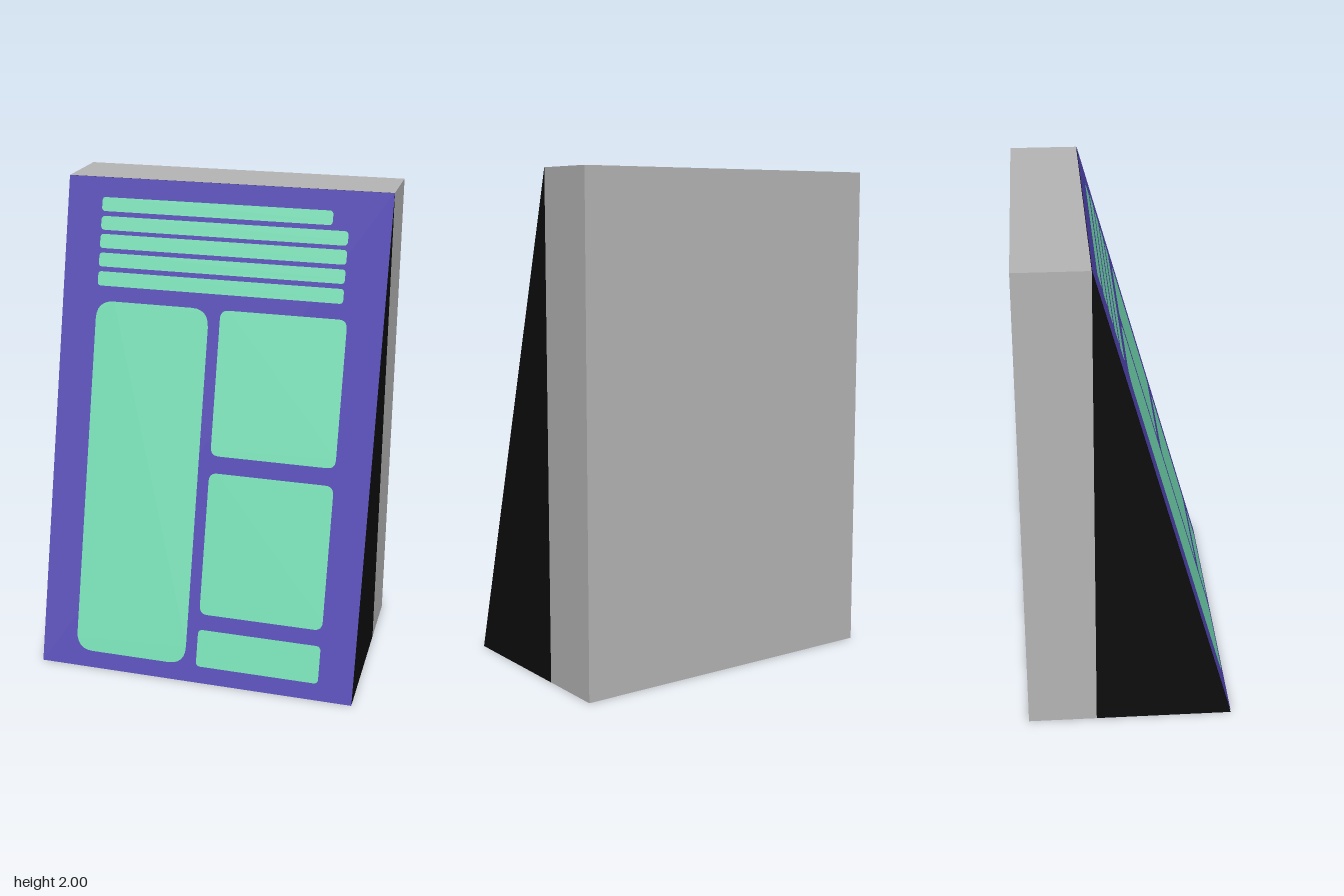
import * as THREE from 'three';

const W = 1.35, H = 2, FRONT = 0.418, MID = -0.14, BACK = -0.42;

const mat = (name, color) => {
  const m = new THREE.MeshStandardMaterial({ color });
  m.name = name;
  return m;
};

// Rectangle with rounded corners, from left/bottom to right/top
function roundedRect(x0, y0, x1, y1, r) {
  const s = new THREE.Shape();
  s.moveTo(x0 + r, y0);
  s.lineTo(x1 - r, y0);
  s.quadraticCurveTo(x1, y0, x1, y0 + r);
  s.lineTo(x1, y1 - r);
  s.quadraticCurveTo(x1, y1, x1 - r, y1);
  s.lineTo(x0 + r, y1);
  s.quadraticCurveTo(x0, y1, x0, y1 - r);
  s.lineTo(x0, y0 + r);
  s.quadraticCurveTo(x0, y0, x0 + r, y0);
  return s;
}

// Lays a flat geometry onto the sloping front, raised by lift
function layOnSlope(geo, lift) {
  const p = geo.attributes.position;
  for (let i = 0; i < p.count; i++) {
    p.setZ(i, FRONT + (MID - FRONT) * p.getY(i) / H + lift);
  }
  geo.computeVertexNormals();
  return geo;
}

export function createModel() {
  const group = new THREE.Group();
  const grey = mat('grey', 0xb4b4b4);
  const black = mat('black', 0x0d0d0d);
  const purple = mat('purple', 0x5145b2);
  const green = mat('mint green', 0x74dcb2);
  const add = (name, geo, material) => {
    const mesh = new THREE.Mesh(geo, material);
    mesh.name = name;
    group.add(mesh);
    return mesh;
  };

  // Upright slab at the rear
  add('backSlab', new THREE.BoxGeometry(W, H, MID - BACK), grey)
    .position.set(0, H / 2, (MID + BACK) / 2);

  // Wedge in front of the slab
  const side = new THREE.Shape([
    new THREE.Vector2(-FRONT, 0),
    new THREE.Vector2(-MID, 0),
    new THREE.Vector2(-MID, H),
  ]);
  const wedge = new THREE.ExtrudeGeometry(side, { depth: W, bevelEnabled: false });
  wedge.rotateY(Math.PI / 2).translate(-W / 2, 0, 0);
  add('wedge', wedge, black);

  // Sloping front face
  const face = new THREE.PlaneGeometry(W, H).translate(0, H / 2, 0);
  add('frontFace', layOnSlope(face, 0.002), purple);

  // Painted panels and bars: left, bottom, right, top, corner radius
  const panels = [
    ['tallPanel', -0.525, 0.07, -0.04, 1.512, 0.075],
    ['upperPanel', 0.008, 0.934, 0.53, 1.512, 0.035],
    ['middlePanel', 0.008, 0.287, 0.53, 0.865, 0.035],
    ['lowerPanel', 0.008, 0.07, 0.53, 0.223, 0.02],
    ['bar1', -0.525, 1.867, 0.44, 1.922, 0.015],
    ['bar2', -0.525, 1.793, 0.507, 1.848, 0.018],
    ['bar3', -0.525, 1.721, 0.507, 1.777, 0.015],
    ['bar4', -0.525, 1.648, 0.507, 1.703, 0.015],
    ['bar5', -0.525, 1.572, 0.507, 1.629, 0.015],
  ];
  for (const [name, ...rect] of panels) {
    add(name, layOnSlope(new THREE.ShapeGeometry(roundedRect(...rect), 6), 0.005), green);
  }
  return group;
}
